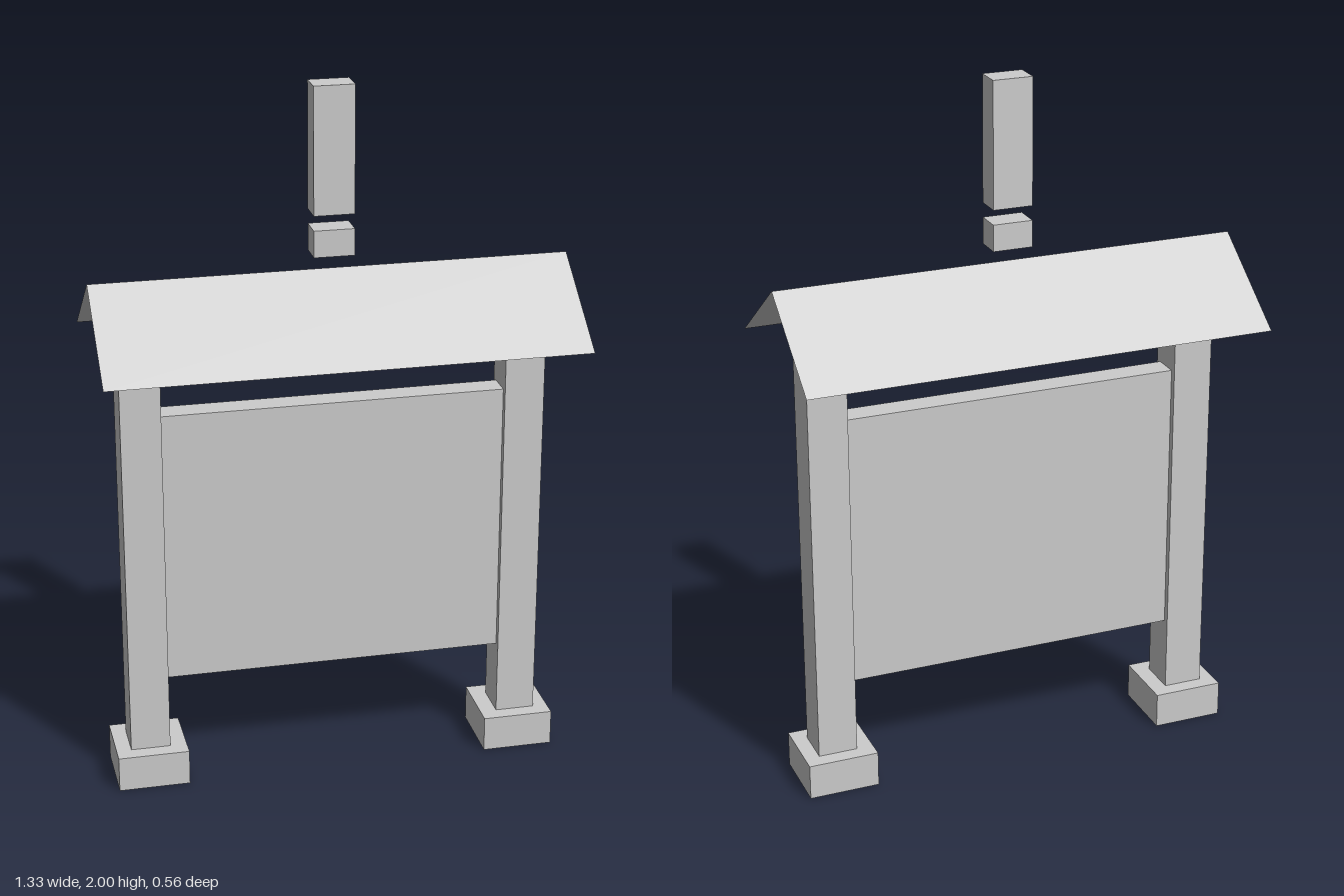
import * as THREE from 'three';

const grey = new THREE.MeshStandardMaterial({ color: 0xcccccc, side: THREE.DoubleSide });
grey.name = 'plain grey';

// Box given by its size, centre and bottom height; openBottom leaves out the underside.
function box(name, w, h, d, x, y, openBottom = false) {
  const geo = new THREE.BoxGeometry(w, h, d);
  if (openBottom) {
    const index = Array.from(geo.index.array);
    index.splice(18, 6);
    geo.setIndex(index);
    geo.clearGroups();
  }
  geo.translate(0, h / 2, 0);
  const mesh = new THREE.Mesh(geo, grey);
  mesh.name = name;
  mesh.position.set(x, y, 0);
  return mesh;
}

export function createModel() {
  const model = new THREE.Group();
  model.name = 'noticeBoard';

  // Posts standing on hollow footings
  for (const [side, s] of [['left', 1], ['right', -1]]) {
    model.add(box(side + 'Footing', 0.203, 0.103, 0.203, s * 0.539, 0, true));
    model.add(box(side + 'Post', 0.113, 1.204, 0.113, s * 0.5415, 0.103, true));
  }

  // Panel between the posts
  model.add(box('panel', 0.97, 0.795, 0.075, 0, 0.313));

  // Gable roof of two thin sheets meeting at the ridge
  const run = 0.28, rise = 0.201, ridge = 1.487;
  const roof = new THREE.Group();
  roof.name = 'roof';
  for (const [name, turn] of [['frontSlope', 0], ['backSlope', Math.PI]]) {
    const geo = new THREE.PlaneGeometry(1.332, Math.hypot(run, rise));
    geo.rotateX(-Math.atan2(run, rise));
    geo.translate(0, ridge - rise / 2, run / 2);
    geo.rotateY(turn);
    const slope = new THREE.Mesh(geo, grey);
    slope.name = name;
    roof.add(slope);
  }
  model.add(roof);

  // Floating marker above the roof: short block and tall bar
  model.add(box('markerDot', 0.113, 0.075, 0.077, 0, 1.53, true));
  model.add(box('markerBar', 0.113, 0.354, 0.077, 0, 1.646, true));

  return model;
}
